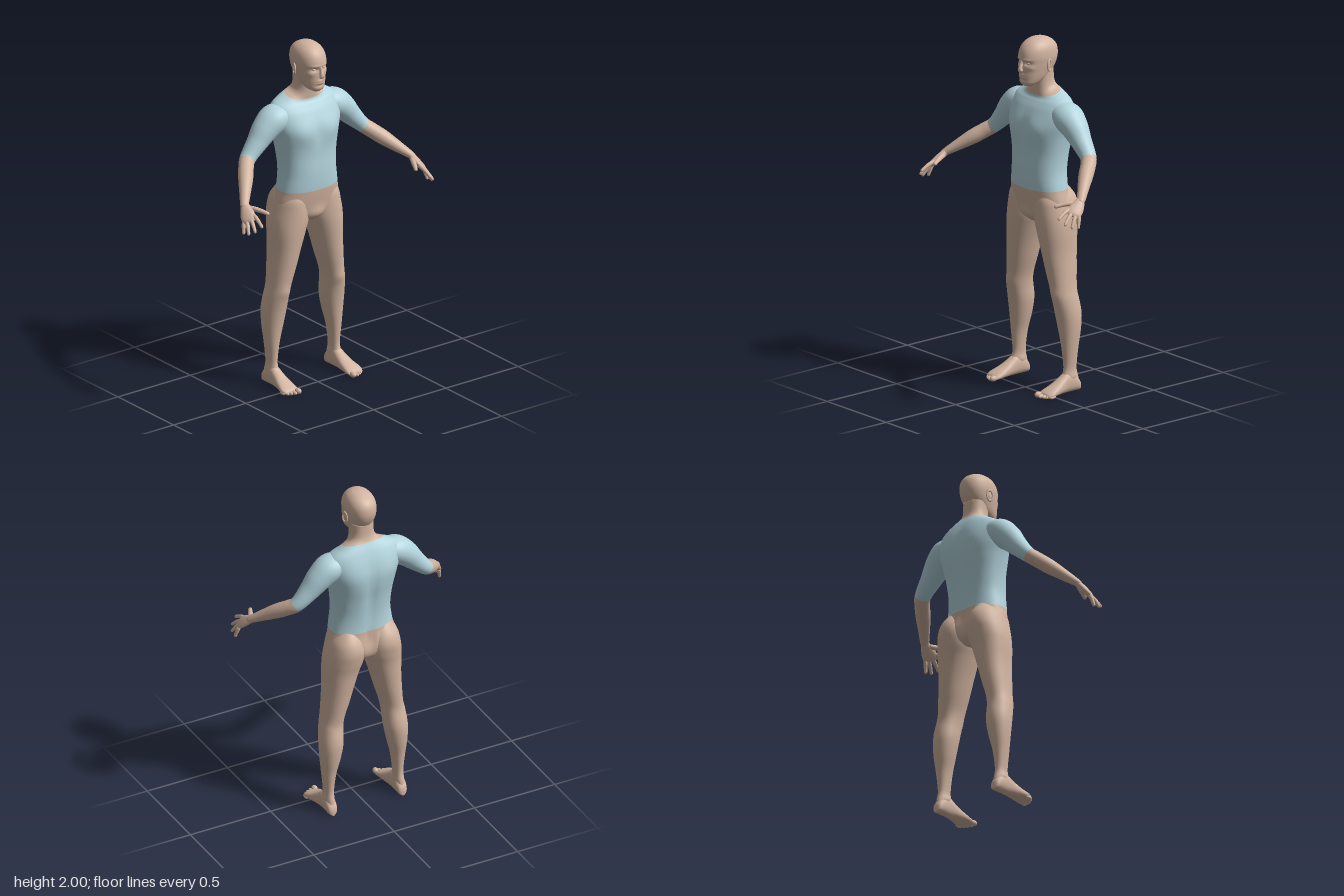
import * as THREE from 'three';

const skin = new THREE.MeshStandardMaterial({ color: 0xd2b4a0 });
skin.name = 'skin';
const shirt = new THREE.MeshStandardMaterial({ color: 0xb4d5de });
shirt.name = 'shirt';

const spow = (v, p) => Math.sign(v) * Math.pow(Math.abs(v), p);

// Smooth interpolation along a list of cross-section keys
function sample(keys, t) {
  const n = keys.length;
  const i = Math.min(Math.max(Math.floor(t), 0), n - 2);
  const f = t - i;
  const k = (j) => keys[Math.min(Math.max(j, 0), n - 1)];
  const [a, b, c, d] = [k(i - 1), k(i), k(i + 1), k(i + 2)];
  return b.map((_, m) => b[m] + 0.5 * f * (c[m] - a[m] + f * (2 * a[m] - 5 * b[m] + 4 * c[m] - d[m]
    + f * (3 * (b[m] - c[m]) + d[m] - a[m]))));
}

// Closed skin over the rings; bumps are [x, y, z, rx, ry, rz, amount], cuts are [material, last key]
function surface(name, keys, ring, { seg = 32, sub = 6, side = 1, bumps = [], cuts = null } = {}) {
  const rows = (keys.length - 1) * sub + 1;
  const pos = [], idx = [], centres = [];
  for (let r = 0; r < rows; r++) {
    const at = ring(r / sub);
    const pts = [];
    for (let s = 0; s < seg; s++) pts.push(at((s / seg) * Math.PI * 2));
    const c = pts.reduce((o, p) => o.add(p), new THREE.Vector3()).divideScalar(seg);
    for (const p of pts) {
      const dir = p.clone().sub(c).normalize();
      let push = 0;
      for (const [x, y, z, rx, ry, rz, amt] of bumps) {
        const q = ((Math.abs(p.x) - x) / rx) ** 2 + ((p.y - y) / ry) ** 2 + ((p.z - z) / rz) ** 2;
        push += amt * Math.exp(-q);
      }
      p.addScaledVector(dir, push);
      pos.push(p.x * side, p.y, p.z);
    }
    centres.push(c);
  }
  for (const c of [centres[0], centres[rows - 1]]) pos.push(c.x * side, c.y, c.z);
  const tri = (a, b, c) => (side > 0 ? idx.push(a, b, c) : idx.push(a, c, b));
  const first = rows * seg;
  for (let s = 0; s < seg; s++) tri(first, s, (s + 1) % seg);
  const ends = [];
  for (let r = 0; r < rows - 1; r++) {
    for (let s = 0; s < seg; s++) {
      const a = r * seg + s, b = r * seg + ((s + 1) % seg);
      tri(a, a + seg, b);
      tri(b, a + seg, b + seg);
    }
    ends.push(idx.length);
  }
  const top = (rows - 1) * seg;
  for (let s = 0; s < seg; s++) tri(first + 1, top + ((s + 1) % seg), top + s);
  const g = new THREE.BufferGeometry();
  g.setAttribute('position', new THREE.Float32BufferAttribute(pos, 3));
  g.setIndex(idx);
  g.computeVertexNormals();
  let start = 0;
  if (cuts) cuts.forEach(([, key], i) => {
    const end = i === cuts.length - 1 ? idx.length : ends[Math.round(key * sub) - 1];
    g.addGroup(start, end - start, i);
    start = end;
  });
  const mesh = new THREE.Mesh(g, cuts ? cuts.map((c) => c[0]) : skin);
  mesh.name = name;
  return mesh;
}

// Level rings: [y, xMin, xMax, zFront, zBack, tilt]
function stack(name, keys, power, opts) {
  return surface(name, keys, (t) => {
    const [y, x0, x1, zf, zb, tilt] = sample(keys, t);
    return (a) => {
      const dz = ((zf - zb) / 2) * spow(Math.sin(a), power);
      return new THREE.Vector3((x0 + x1) / 2 + ((x1 - x0) / 2) * spow(Math.cos(a), power), y - tilt * dz, (zf + zb) / 2 + dz);
    };
  }, opts);
}

// Limb along a path: [x, y, z, radius along hint, radius across]
function limb(name, keys, hint, opts) {
  return surface(name, keys, (t) => {
    const [x, y, z, ra, rb] = sample(keys, t);
    const p = sample(keys, Math.max(t - 0.05, 0)), q = sample(keys, Math.min(t + 0.05, keys.length - 1));
    const T = new THREE.Vector3(q[0] - p[0], q[1] - p[1], q[2] - p[2]).normalize();
    const A = hint.clone().addScaledVector(T, -hint.dot(T)).normalize();
    const B = A.clone().cross(T);
    return (a) => new THREE.Vector3(x, y, z).addScaledVector(A, Math.max(ra, 0.001) * Math.cos(a))
      .addScaledVector(B, Math.max(rb, 0.001) * Math.sin(a));
  }, opts);
}

function blob(name, x, y, z, rx, ry, rz) {
  const m = new THREE.Mesh(new THREE.SphereGeometry(1, 20, 14), skin);
  m.name = name;
  m.position.set(x, y, z);
  m.scale.set(rx, ry, rz);
  return m;
}

const sym = (rows) => rows.map(([y, w, zf, zb, tilt = 0]) => [y, -w, w, zf, zb, tilt]);

function makeTorso() {
  const keys = sym([
    [0.95, 0.04, -0.05, -0.18], [0.985, 0.13, -0.015, -0.22], [1.05, 0.2, 0, -0.235], [1.15, 0.186, 0.015, -0.222],
    [1.25, 0.173, 0.02, -0.225], [1.35, 0.178, 0.018, -0.238], [1.45, 0.195, 0.02, -0.255], [1.53, 0.215, 0.012, -0.258],
    [1.6, 0.222, -0.018, -0.246], [1.65, 0.2, -0.045, -0.225, 0.1], [1.685, 0.135, -0.06, -0.2, 0.3],
    [1.71, 0.085, -0.06, -0.188, 0.3], [1.75, 0.068, -0.055, -0.182, 0.15], [1.82, 0.068, -0.04, -0.18],
  ]);
  return stack('torso', keys, 0.88, {
    seg: 56, sub: 8, cuts: [[skin, 3], [shirt, 10.25], [skin, 13]],
    bumps: [
      [0.09, 1.49, 0.02, 0.065, 0.06, 0.1, 0.012],   // chest
      [0, 1.49, 0.02, 0.02, 0.09, 0.08, -0.006],     // breastbone
      [0, 1.38, -0.25, 0.03, 0.22, 0.06, -0.014],    // spine
      [0.11, 1.54, -0.25, 0.06, 0.09, 0.06, 0.009],  // shoulder blades
      [0, 1.08, -0.24, 0.02, 0.06, 0.05, -0.02],     // cleft
      [0, 1.0, 0, 0.04, 0.04, 0.06, 0.012],          // groin
    ],
  });
}

function makeHead() {
  const head = new THREE.Group();
  head.name = 'head';
  head.add(stack('skull', sym([
    [1.733, 0.024, 0.006, -0.04], [1.75, 0.05, 0.021, -0.09], [1.78, 0.066, 0.024, -0.145], [1.82, 0.076, 0.025, -0.182],
    [1.86, 0.083, 0.025, -0.203], [1.9, 0.086, 0.027, -0.211], [1.94, 0.081, 0.015, -0.205], [1.97, 0.066, -0.008, -0.183],
    [1.99, 0.042, -0.04, -0.148], [1.998, 0.018, -0.072, -0.116], [2, 0.002, -0.092, -0.096],
  ]), 0.92, {
    seg: 64, sub: 8,
    bumps: [
      [0.032, 1.868, 0.02, 0.019, 0.011, 0.04, -0.012],  // eye sockets
      [0.03, 1.888, 0.02, 0.025, 0.007, 0.04, 0.004],    // brows
      [0.055, 1.842, 0, 0.018, 0.014, 0.03, 0.004],      // cheekbones
      [0, 1.8, 0.025, 0.022, 0.005, 0.03, 0.006],        // upper lip
      [0, 1.786, 0.025, 0.02, 0.005, 0.03, 0.006],       // lower lip
      [0, 1.771, 0.025, 0.025, 0.006, 0.03, -0.004],
    ],
  }));
  head.add(limb('nose', [
    [0, 1.888, 0.02, 0.007, 0.007], [0, 1.862, 0.027, 0.008, 0.01], [0, 1.838, 0.035, 0.013, 0.013],
    [0, 1.826, 0.034, 0.016, 0.012], [0, 1.818, 0.028, 0.008, 0.005],
  ], new THREE.Vector3(1, 0, 0), { seg: 18 }));
  for (const s of [1, -1]) {
    head.add(blob('eye', s * 0.032, 1.867, -0.001, 0.015, 0.01, 0.014));
    const ear = new THREE.Group();
    ear.name = 'ear';
    const rim = new THREE.Mesh(new THREE.TorusGeometry(0.019, 0.005, 8, 24), skin);
    rim.name = 'earRim';
    rim.scale.set(0.9, 1.6, 1);
    ear.add(rim, blob('earBowl', 0, 0, -0.004, 0.016, 0.029, 0.006));
    ear.position.set(s * 0.09, 1.852, -0.098);
    ear.rotation.set(0, s * (Math.PI / 2 + 0.35), 0);
    head.add(ear);
  }
  return head;
}

function makeArm(side) {
  const arm = new THREE.Group();
  arm.name = side > 0 ? 'leftArm' : 'rightArm';
  arm.add(limb('sleeveAndForearm', [
    [0.12, 1.6, -0.13, 0.07, 0.05], [0.2, 1.578, -0.13, 0.088, 0.078], [0.265, 1.53, -0.13, 0.077, 0.073],
    [0.325, 1.465, -0.127, 0.06, 0.058], [0.395, 1.393, -0.118, 0.046, 0.043], [0.433, 1.36, -0.085, 0.043, 0.042],
    [0.478, 1.32, -0.03, 0.041, 0.041], [0.53, 1.273, 0.032, 0.032, 0.031], [0.575, 1.232, 0.085, 0.024, 0.021],
    [0.583, 1.222, 0.1, 0.02, 0.017],
  ], new THREE.Vector3(-0.5, 0, 1), { side, cuts: [[shirt, 4.17], [skin, 9]] }));
  const across = new THREE.Vector3(0.7, -0.5, -0.4);
  arm.add(limb('palm', [
    [0.57, 1.237, 0.078, 0.02, 0.018], [0.582, 1.215, 0.105, 0.031, 0.02], [0.593, 1.192, 0.135, 0.041, 0.019],
    [0.602, 1.172, 0.162, 0.04, 0.015], [0.607, 1.162, 0.174, 0.028, 0.007],
  ], across, { side, seg: 24 }));
  const fingers = [
    ['indexFinger', [0.573, 1.195, 0.165], [0.583, 1.15, 0.258]],
    ['middleFinger', [0.592, 1.18, 0.162], [0.615, 1.12, 0.238]],
    ['ringFinger', [0.61, 1.168, 0.153], [0.635, 1.1, 0.203]],
    ['littleFinger', [0.622, 1.158, 0.14], [0.637, 1.092, 0.158]],
    ['thumb', [0.565, 1.218, 0.11], [0.508, 1.2, 0.223]],
  ];
  for (const [name, a, b] of fingers) {
    const r = name === 'thumb' ? 0.0135 : 0.0108;
    const keys = [[0, 1], [0.35, 1.08], [0.7, 0.9], [0.93, 0.75], [1, 0.1]].map(([t, k]) => {
      const p = a.map((v, i) => v + (b[i] - v) * t);
      p[1] += 0.02 * t * (1 - t);
      return [...p, r * k, r * k];
    });
    arm.add(limb(name, keys, across, { side, seg: 14, sub: 4 }));
  }
  return arm;
}

function makeLeg(side) {
  const leg = new THREE.Group();
  leg.name = side > 0 ? 'leftLeg' : 'rightLeg';
  leg.add(stack('thighAndShin', [
    [0.03, 0.192, 0.243, -0.11, -0.198], [0.08, 0.188, 0.245, -0.085, -0.192], [0.14, 0.188, 0.243, -0.098, -0.18],
    [0.25, 0.174, 0.254, -0.09, -0.19], [0.35, 0.15, 0.264, -0.079, -0.208], [0.44, 0.134, 0.267, -0.065, -0.216],
    [0.53, 0.129, 0.258, -0.047, -0.206], [0.6, 0.118, 0.246, -0.038, -0.2], [0.7, 0.088, 0.237, -0.026, -0.212],
    [0.8, 0.06, 0.231, -0.015, -0.223], [0.9, 0.028, 0.231, -0.005, -0.235], [0.97, 0.006, 0.227, -0.001, -0.25],
    [1.04, 0.006, 0.213, 0, -0.26], [1.1, 0.02, 0.195, -0.005, -0.245], [1.16, 0.05, 0.16, -0.03, -0.2],
  ].map((k) => [...k, 0]), 0.95, {
    side, bumps: [
      [0.19, 0.56, -0.04, 0.035, 0.035, 0.04, 0.006],  // kneecap
      [0.19, 0.55, -0.2, 0.04, 0.04, 0.03, -0.006],    // back of knee
      [0.21, 0.09, -0.14, 0.1, 0.018, 0.02, 0.006],    // ankle bones
    ],
  }));
  // Foot rings: [z, x, half width, height]
  const foot = [
    [-0.206, 0.217, 0.008, 0.03], [-0.195, 0.217, 0.026, 0.062], [-0.16, 0.217, 0.033, 0.1], [-0.11, 0.217, 0.034, 0.115],
    [-0.07, 0.218, 0.038, 0.092], [-0.02, 0.221, 0.046, 0.063], [0.025, 0.224, 0.052, 0.042], [0.05, 0.221, 0.046, 0.028],
    [0.058, 0.219, 0.036, 0.015],
  ];
  leg.add(surface('foot', foot, (t) => {
    const [z, x, w, h] = sample(foot, t);
    return (a) => new THREE.Vector3(x + w * Math.cos(a), (h / 2) * (1 - spow(Math.sin(a), 0.8)), z);
  }, { side, seg: 28 }));
  [[0.19, 0.068, 0.0165], [0.214, 0.064, 0.011], [0.234, 0.055, 0.0105], [0.252, 0.043, 0.01], [0.267, 0.028, 0.01]]
    .forEach(([x, z, r]) => leg.add(blob('toe', side * x, r, z, r, r, 0.022)));
  return leg;
}

export function createModel() {
  const model = new THREE.Group();
  model.name = 'standingFigure';
  model.add(makeTorso(), makeHead());
  for (const side of [1, -1]) model.add(makeArm(side), makeLeg(side));
  return model;
}
